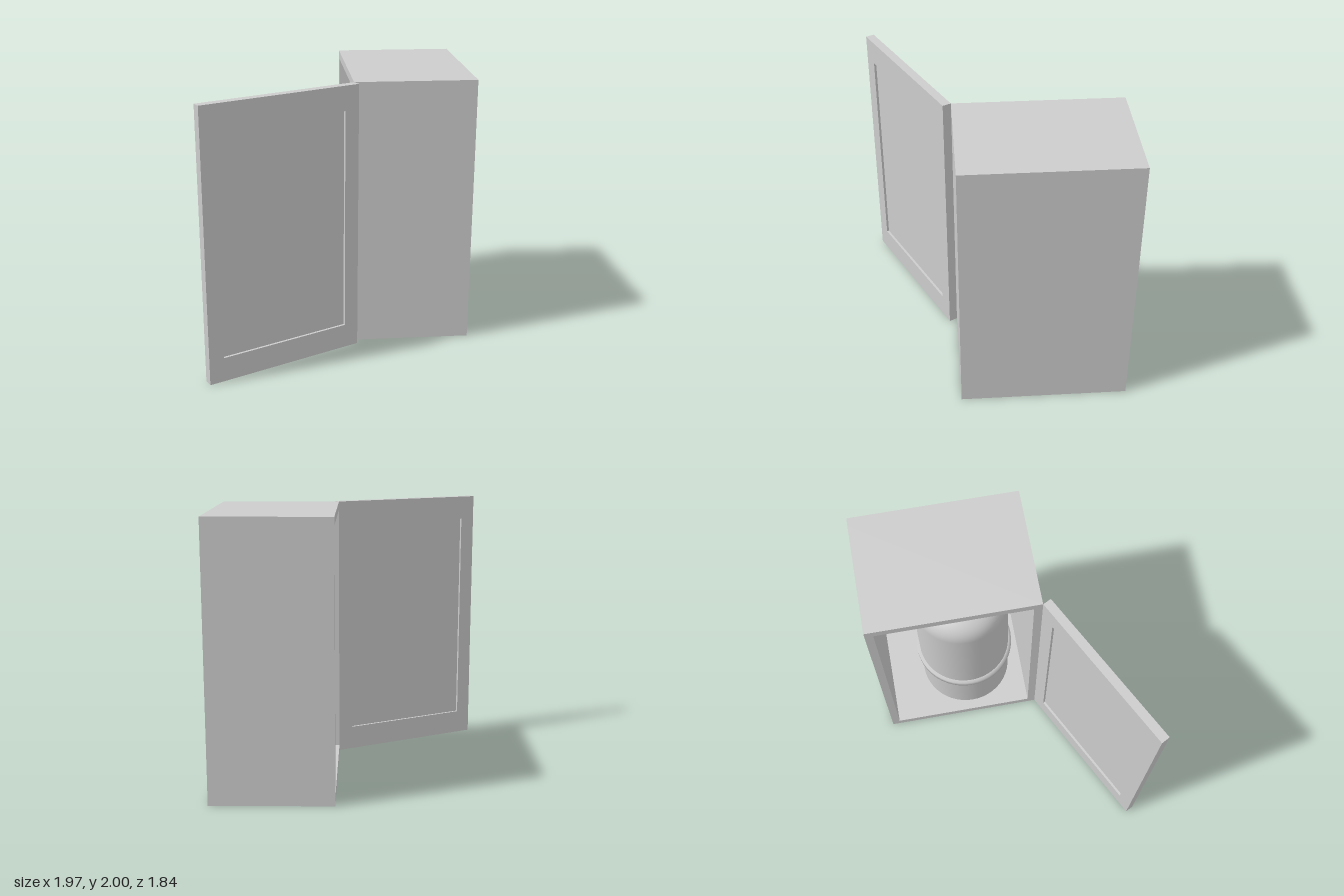
import * as THREE from 'three';

const grey = new THREE.MeshStandardMaterial({ color: 0xcccccc });
grey.name = 'light grey';

function add(parent, name, geometry, x = 0, y = 0, z = 0) {
  const mesh = new THREE.Mesh(geometry, grey);
  mesh.name = name;
  mesh.position.set(x, y, z);
  parent.add(mesh);
  return mesh;
}

// Rectangular frame: outer w x h with a hole inset by margins mx and my
function frame(w, h, mx, my, depth) {
  const rect = (target, x0, y0, x1, y1) =>
    target.moveTo(x0, y0).lineTo(x1, y0).lineTo(x1, y1).lineTo(x0, y1).closePath();
  const shape = rect(new THREE.Shape(), -w / 2, 0, w / 2, h);
  shape.holes.push(rect(new THREE.Path(), -w / 2 + mx, my, w / 2 - mx, h - my));
  return new THREE.ExtrudeGeometry(shape, { depth, bevelEnabled: false });
}

export function createModel() {
  const model = new THREE.Group();
  model.name = 'extinguisherCabinet';

  // Cabinet, open towards -x
  const cabinet = new THREE.Group();
  cabinet.name = 'cabinet';
  const wall = 0.06;
  const shell = frame(1.22, 2, wall, wall, 0.825).rotateY(-Math.PI / 2);
  add(cabinet, 'cabinetWalls', shell, 0.925, 0, -0.31);
  add(cabinet, 'cabinetBack', new THREE.BoxGeometry(wall, 2, 1.22), 0.955, 1, -0.31);
  model.add(cabinet);

  // Door swung open on the front corner, with a recessed panel on both faces
  const door = new THREE.Group();
  door.name = 'door';
  door.position.set(0.1, 0, 0.3);
  door.rotation.y = 0.475;
  add(door, 'doorFrame', frame(1.225, 2, 0.112, 0.18, 0.065), -0.6125);
  add(door, 'doorPanel', new THREE.BoxGeometry(1.001, 1.64, 0.029), -0.6125, 1, 0.0325);
  model.add(door);

  // Extinguisher standing inside
  const extinguisher = new THREE.Group();
  extinguisher.name = 'extinguisher';
  extinguisher.position.set(0.53, wall, -0.22);
  const profile = new THREE.Path();
  profile.moveTo(0, 0).lineTo(0.34, 0).lineTo(0.36, 0.02).lineTo(0.36, 1.3);
  profile.bezierCurveTo(0.36, 1.42, 0.29, 1.5, 0.08, 1.52);
  const points = profile.getPoints(12);
  points.push(new THREE.Vector2(0, 1.52));
  add(extinguisher, 'tank', new THREE.LatheGeometry(points, 48));
  const band = [[0.355, 0.46], [0.385, 0.46], [0.385, 0.51], [0.355, 0.51]];
  add(extinguisher, 'band',
    new THREE.LatheGeometry(band.map(([r, y]) => new THREE.Vector2(r, y)), 48));
  add(extinguisher, 'neck', new THREE.CylinderGeometry(0.07, 0.08, 0.12, 24), 0, 1.57, 0);
  add(extinguisher, 'valve', new THREE.SphereGeometry(0.09, 24, 16), 0, 1.65, 0);
  const nozzle = add(extinguisher, 'nozzle',
    new THREE.CylinderGeometry(0.04, 0.05, 0.16, 20), -0.06, 1.63, 0.06);
  nozzle.rotation.set(Math.PI / 2, 0, Math.PI / 4);
  model.add(extinguisher);

  return model;
}
